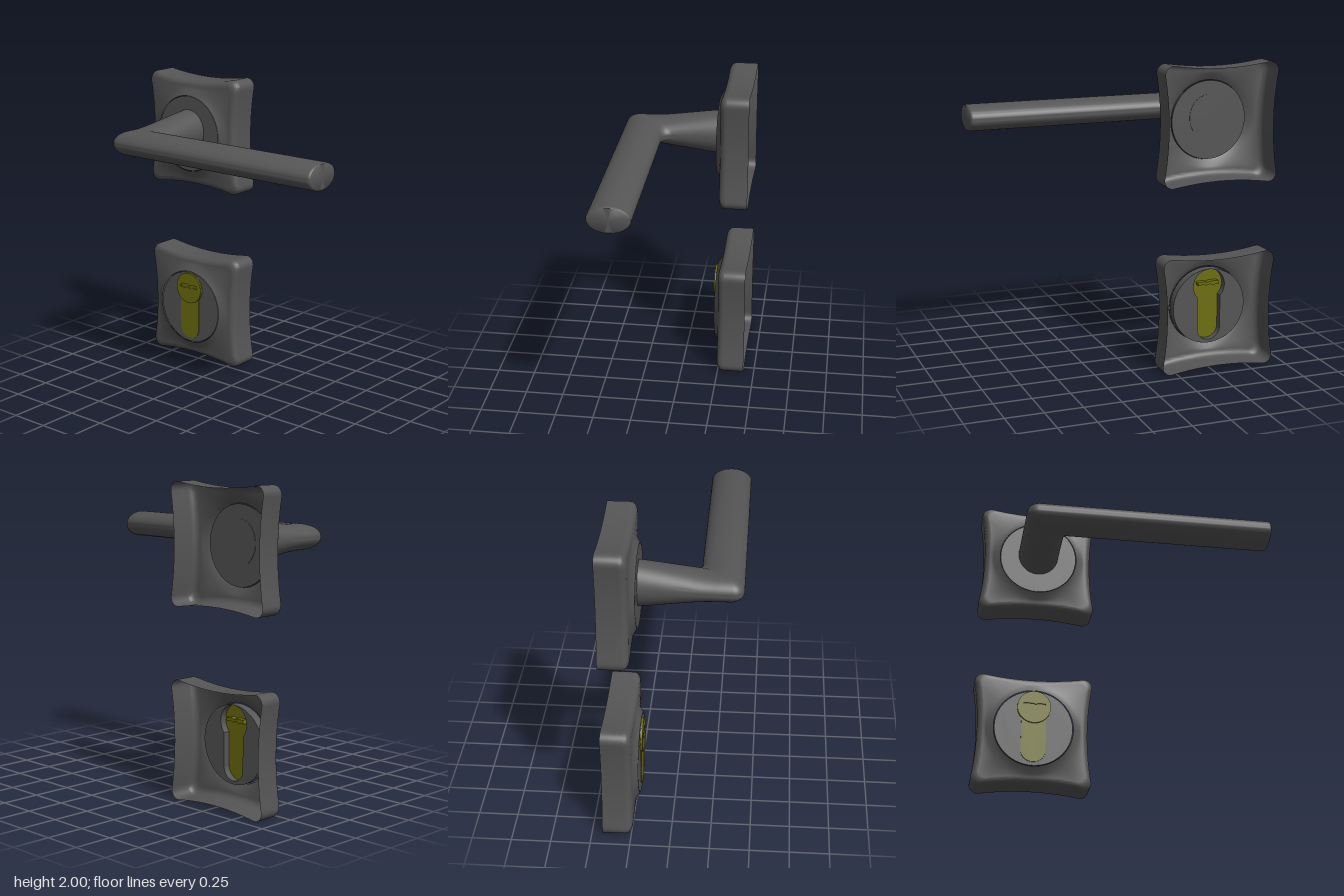
import * as THREE from 'three';
import { toCreasedNormals } from 'three/addons/utils/BufferGeometryUtils.js';

const CX = -0.54, UPPER_Y = 1.615, LOWER_Y = 0.385;
const metal = new THREE.MeshStandardMaterial({ color: 0x555555, side: THREE.DoubleSide });
const brass = new THREE.MeshStandardMaterial({ color: 0x6e6e10, side: THREE.DoubleSide });

function add(parent, name, geometry, material, x = 0, y = 0, z = 0) {
  const mesh = new THREE.Mesh(geometry, material);
  mesh.name = name;
  mesh.position.set(x, y, z);
  parent.add(mesh);
  return mesh;
}

// Skin a list of closed rings, each with the same number of [x, y, z] points
function loft(rings, crease) {
  const n = rings[0].length, index = [];
  for (let i = 0; i < rings.length - 1; i++) {
    for (let j = 0; j < n; j++) {
      const a = i * n + j, b = i * n + (j + 1) % n;
      index.push(a, b, b + n, a, b + n, a + n);
    }
  }
  const g = new THREE.BufferGeometry();
  g.setAttribute('position', new THREE.Float32BufferAttribute(rings.flat(2), 3));
  g.setIndex(index);
  return toCreasedNormals(g, crease);
}

// Square outline with hollowed sides and rounded corners
function plateOutline() {
  const pts = [], tilt = 0.167, c = 0.33, r = 0.055;
  for (let side = 0; side < 4; side++) {
    const quarter = [];
    for (let i = 0; i < 16; i++) {
      const s = -1 + i / 8;
      quarter.push([0.357 + 0.027 * s * s, s * 0.321]);
    }
    for (let i = 0; i < 10; i++) {
      const a = -tilt + (Math.PI / 2 + 2 * tilt) * i / 10;
      quarter.push([c + r * Math.cos(a), c + r * Math.sin(a)]);
    }
    const co = Math.round(Math.cos(side * Math.PI / 2)), si = Math.round(Math.sin(side * Math.PI / 2));
    for (const [x, y] of quarter) pts.push([x * co - y * si, x * si + y * co]);
  }
  return pts;
}

// Hollow cover, open at the back, rising to a round opening at the front
function coverGeometry() {
  const outline = plateOutline();
  const scaled = (inset, z) => outline.map(([x, y]) => [x * (1 - inset / 0.37), y * (1 - inset / 0.37), z]);
  const circle = (r, z) => outline.map(([x, y]) => {
    const l = Math.hypot(x, y);
    return [x / l * r, y / l * r, z];
  });
  const rings = [scaled(0, -0.43)];
  const r = 0.045;
  for (let i = 0; i <= 8; i++) {
    const a = i / 8 * Math.PI / 2;
    rings.push(scaled(r * (1 - Math.cos(a)), -0.288 + r * Math.sin(a)));
  }
  rings.push(circle(0.302, -0.238), circle(0.257, -0.21));
  return loft(rings, 0.7);
}

// Oval lever: tapered neck, mitred elbow with softened edges, straight arm
function leverGeometry() {
  const w = 0.133, h = 0.085, armZ = 0.29, backZ = -0.225, endX = 0.92, n = 64, steps = 8;
  const columns = [];
  for (let j = 0; j < n; j++) {
    const t = j / n * Math.PI * 2, u = Math.cos(t), v = Math.sin(t);
    const x0 = CX + u * w, z0 = armZ - u * w, r = 0.015 + 0.055 * u * u;
    const col = [];
    const put = (x, z, s = 1) => {
      const k = THREE.MathUtils.clamp((z + 0.21) / 0.4, 0, 1);
      col.push([x, v * s * THREE.MathUtils.lerp(0.145, h, k), z]);
    };
    put(CX, backZ, 0);
    for (let i = 0; i <= 6; i++) put(x0, backZ + (z0 - r - backZ) * i / 6);
    for (let i = 1; i <= steps; i++) {
      const a = i / steps * Math.PI / 2;
      put(x0 + r * (1 - Math.cos(a)), z0 - r + r * Math.sin(a));
    }
    for (const [x, s] of [[endX - 0.015, 1], [endX - 0.004, 0.97], [endX, 0.92], [endX, 0]]) {
      put(x, armZ - u * w * s, s);
    }
    columns.push(col);
  }
  const rings = columns[0].map((_, i) => columns.map(col => col[i]));
  return loft(rings, 0.75);
}

// Round head over a narrower body with a round foot
function keyholePath(Target) {
  const p = new Target(), a = 0.756;
  p.absarc(0, 0.14, 0.11, -a, Math.PI + a, false);
  p.absarc(0, -0.15, 0.08, Math.PI, Math.PI * 2, false);
  p.closePath();
  return p;
}

// Wavy key slot
function slotPoints() {
  return [[-0.075, -0.012], [-0.025, -0.012], [-0.01, -0.004], [0.015, -0.014], [0.035, -0.006],
    [0.07, -0.012], [0.075, 0.01], [0.03, 0.014], [0.01, 0.007], [-0.015, 0.014], [-0.07, 0.013]]
    .map(([x, y]) => new THREE.Vector2(x, y + 0.152));
}

const extrude = (shape, z0, z1) => new THREE.ExtrudeGeometry(shape,
  { depth: z1 - z0, bevelEnabled: false, curveSegments: 40 }).translate(0, 0, z0);

function disc(r) {
  const s = new THREE.Shape();
  s.absarc(0, 0, r, 0, Math.PI * 2, false);
  return s;
}

export function createModel() {
  const model = new THREE.Group();
  model.name = 'doorHandleSet';

  // Handle rose and lever
  const handle = new THREE.Group();
  handle.name = 'handle';
  model.add(handle);
  const cover = coverGeometry();
  add(handle, 'handleCover', cover, metal, CX, UPPER_Y);
  add(handle, 'handleDisc', extrude(disc(0.254), -0.222, -0.21), metal, CX, UPPER_Y);
  add(handle, 'lever', leverGeometry(), metal, 0, 1.635);

  // Lock rose with a keyhole-shaped opening
  const lock = new THREE.Group();
  lock.name = 'lock';
  lock.position.set(CX, LOWER_Y, 0);
  model.add(lock);
  add(lock, 'lockCover', cover, metal);
  const lockDisc = disc(0.252);
  lockDisc.holes.push(keyholePath(THREE.Path));
  add(lock, 'lockDisc', extrude(lockDisc, -0.27, -0.21), metal);

  // Lock cylinder: body, raised round head and the key channel behind it
  const body = keyholePath(THREE.Shape);
  body.holes.push(new THREE.Path(slotPoints()));
  add(lock, 'cylinderBody', extrude(body, -0.225, -0.205), brass);
  const head = new THREE.Shape();
  head.absarc(0, 0.14, 0.108, 0, Math.PI * 2, false);
  head.holes.push(new THREE.Path(slotPoints()));
  add(lock, 'cylinderHead', extrude(head, -0.215, -0.195), brass);
  add(lock, 'keyChannel', extrude(new THREE.Shape(slotPoints()), -0.26, -0.203), brass);

  return model;
}
